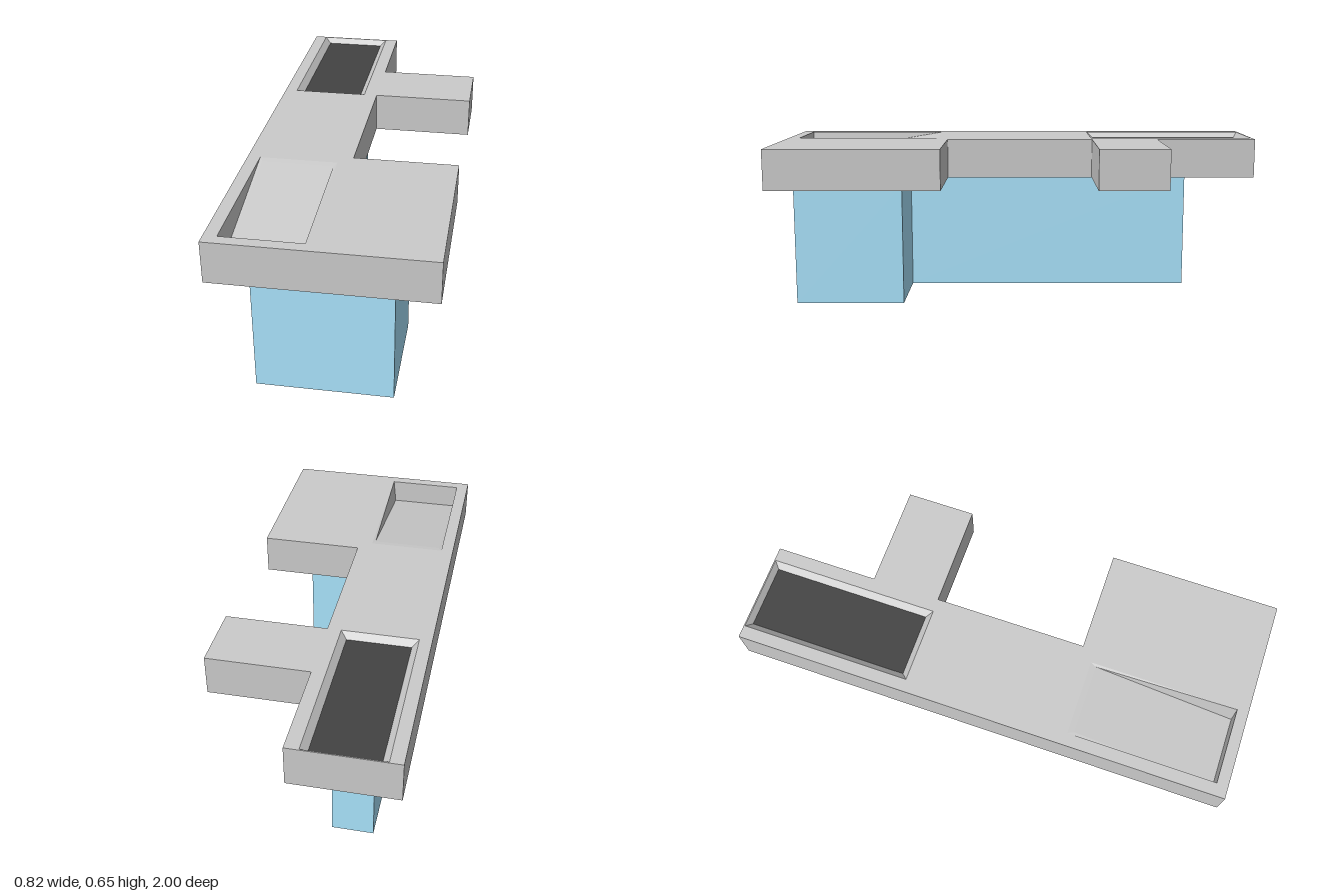
import * as THREE from 'three';

const BOTTOM = 0.49, TOP = 0.653;
const BASE_BACK = -0.268, BASE_INNER = -0.104;

const material = (color) => new THREE.MeshStandardMaterial({ color, flatShading: true });

// Flat panel from a 2D outline with optional holes, facing +z until rotated
function panel(outline, holes = []) {
  const toPoints = (loop) => loop.map(([u, v]) => new THREE.Vector2(u, v));
  const shape = new THREE.Shape(toPoints(outline));
  shape.holes = holes.map((h) => new THREE.Path(toPoints(h)));
  return new THREE.ShapeGeometry(shape);
}

// Horizontal panels from [x, z] outlines
const upPanel = (outline, y, holes = []) => {
  const flip = (loop) => loop.map(([x, z]) => [x, -z]);
  return panel(flip(outline), holes.map(flip)).rotateX(-Math.PI / 2).translate(0, y, 0);
};
const downPanel = (outline, y) => panel(outline).rotateX(Math.PI / 2).translate(0, y, 0);

function fromTriangles(points) {
  const g = new THREE.BufferGeometry();
  g.setAttribute('position', new THREE.Float32BufferAttribute(points.flat(), 3));
  g.computeVertexNormals();
  return g;
}

// Walls joining two matching loops of [x, y, z] points
function walls(a, b, skipLast = false) {
  const tris = [];
  for (let i = 0; i < a.length - (skipLast ? 1 : 0); i++) {
    const j = (i + 1) % a.length;
    tris.push(a[i], a[j], b[j], a[i], b[j], b[i]);
  }
  return fromTriangles(tris);
}

const floorQuad = ([a, b, c, d]) => fromTriangles([a, c, b, a, d, c]);

// Corners of a rectangle, clockwise from above
const rect = (x0, x1, z0, z1) => [[x1, z1], [x0, z1], [x0, z0], [x1, z0]];
const atHeight = (loop, y) => loop.map(([x, z]) => [x, y, z]);

export function createModel() {
  const model = new THREE.Group();
  model.name = 'counter';
  const grey = material(0xcccccc);
  const blue = material(0xaae4fd);
  const dark = material(0x434343);

  const addGroup = (name) => {
    const g = new THREE.Group();
    g.name = name;
    model.add(g);
    return g;
  };
  const add = (group, name, geometry, mat) => {
    const mesh = new THREE.Mesh(geometry, mat);
    mesh.name = name;
    group.add(mesh);
  };

  // Worktop: a long slab with two side wings
  const worktop = addGroup('worktop');
  const outline = [
    [-0.41, 1], [0.41, 1], [0.41, 0.31], [0, 0.31], [0, -0.305],
    [0.41, -0.305], [0.41, -0.583], [0, -0.583], [0, -1], [-0.41, -1],
  ];
  const insetRim = rect(-0.36, -0.055, -0.995, -0.305);
  const rampRim = rect(-0.36, -0.055, 0.36, 0.955);
  add(worktop, 'worktopSurface', upPanel(outline, TOP, [insetRim, rampRim]), grey);
  add(worktop, 'worktopUnderside', downPanel(outline, BOTTOM), grey);
  add(worktop, 'worktopEdge', walls(atHeight(outline, BOTTOM), atHeight(outline, TOP)), grey);

  // Shallow bevelled inset with a dark floor
  const insetFloor = atHeight(rect(-0.335, -0.08, -0.977, -0.33), TOP - 0.024);
  add(worktop, 'insetBevel', walls(insetFloor, atHeight(insetRim, TOP)), grey);
  add(worktop, 'darkInset', floorQuad(insetFloor), dark);

  // Sloping recess, deepest at the front
  const rampFloor = rect(-0.347, -0.066, 0.385, 0.955)
    .map(([x, z]) => [x, TOP - (z > 0.5 ? 0.1 : 0.003), z]);
  add(worktop, 'rampWalls', walls(rampFloor, atHeight(rampRim, TOP)), grey);
  add(worktop, 'rampFloor', floorQuad(rampFloor), grey);

  // Base: narrow cabinet with a wide front end
  const base = addGroup('base');
  const footprint = [
    [BASE_BACK, 0.92], [0.247, 0.92], [0.247, 0.48],
    [BASE_INNER, 0.48], [BASE_INNER, -0.72], [BASE_BACK, -0.72],
  ];
  add(base, 'baseWalls', walls(atHeight(footprint, 0), atHeight(footprint, BOTTOM), true), blue);
  add(base, 'baseBottom', downPanel(footprint, 0), blue);

  // Long side of the base with its tapered recessed panel, in [z, y]
  const opening = (z0, z1, y0, y1) => [[z0, y0], [z0, y1], [z1, y1], [z1, y0]];
  const atDepth = (loop, x) => loop.map(([z, y]) => [x, y, z]);
  const rim = opening(-0.514, 0.71, 0.11, 0.38);
  const back = atDepth(opening(-0.446, 0.642, 0.154, 0.336), BASE_BACK + 0.03);
  const side = panel(opening(-0.72, 0.92, 0, BOTTOM), [rim])
    .rotateY(-Math.PI / 2).translate(BASE_BACK, 0, 0);
  add(base, 'baseLongSide', side, blue);
  add(base, 'sidePanelBevel', walls(back, atDepth(rim, BASE_BACK)), blue);
  add(base, 'sidePanel', floorQuad(back), blue);

  return model;
}
